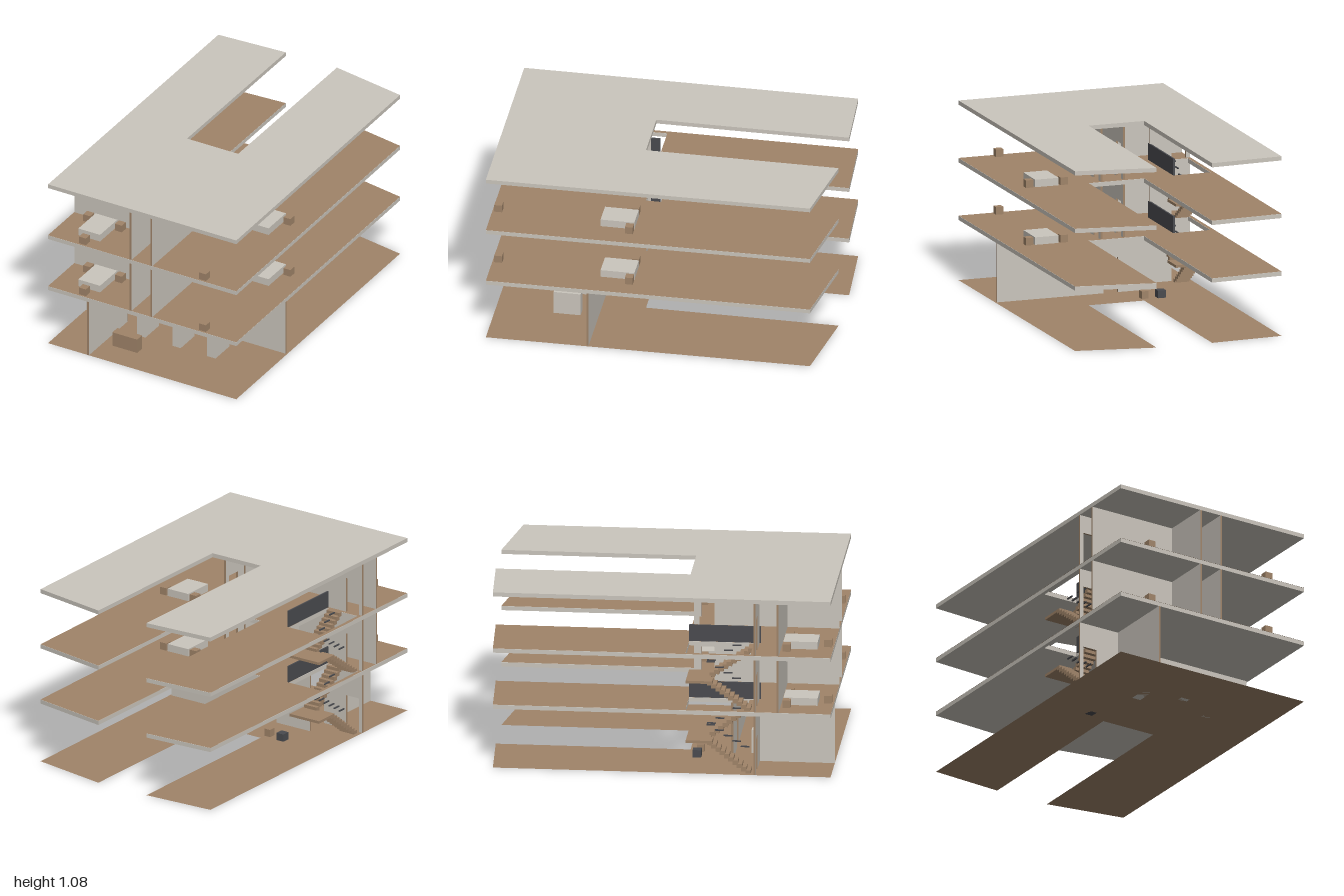
import * as THREE from 'three';

const mat = (name, color, side = THREE.FrontSide) => {
  const m = new THREE.MeshStandardMaterial({ color, side });
  m.name = name;
  return m;
};

export function createModel() {
  const plaster = mat('plaster', 0xcbc6bd);
  const wood = mat('wood', 0xa08469, THREE.DoubleSide);
  const charcoal = mat('charcoal', 0x4a4b4f);
  const model = new THREE.Group();
  model.name = 'building';

  const add = (name, geometry, material, parent = model) => {
    const mesh = new THREE.Mesh(geometry, material);
    mesh.name = name;
    parent.add(mesh);
    return mesh;
  };
  // Box given by its limits on each axis
  const box = (name, material, [x0, x1], [y0, y1], [z0, z1], parent) =>
    add(name, new THREE.BoxGeometry(x1 - x0, y1 - y0, z1 - z0), material, parent)
      .position.set((x0 + x1) / 2, (y0 + y1) / 2, (z0 + z1) / 2);
  const shapeOf = (points) => new THREE.Shape(points.map(([a, b]) => new THREE.Vector2(a, b)));

  // U-shaped floor plan, optionally pierced by the stairwell
  const plan = (stairwell) => {
    const shape = shapeOf([
      [-0.635, -1], [0.635, -1], [0.62, 0.915], [0.145, 1],
      [0.145, -0.14], [-0.2, -0.14], [-0.2, 1], [-0.64, 0.975],
    ]);
    if (stairwell) {
      shape.holes.push(shapeOf([[-0.615, -0.15], [-0.615, -0.53], [-0.395, -0.53], [-0.395, -0.15]]));
    }
    return shape;
  };
  const slab = (name, y, hasFloor) => {
    const geo = new THREE.ExtrudeGeometry(plan(hasFloor), { depth: 0.025, bevelEnabled: false });
    add(name, geo.rotateX(-Math.PI / 2), plaster).position.y = y;
    if (hasFloor) floorPlate(name + 'Floor', y + 0.0262, true);
  };
  const floorPlate = (name, y, stairwell) => {
    add(name, new THREE.ShapeGeometry(plan(stairwell)).rotateX(-Math.PI / 2), wood).position.y = y;
  };

  // Thin wall with wooden edges and an optional doorway reaching the floor
  const T = 0.012, DOOR = 0.21;
  const wallGeometry = (a, b, h, door) => {
    const notch = door ? [[door[0], 0], [door[0], DOOR], [door[1], DOOR], [door[1], 0]] : [];
    return new THREE.ExtrudeGeometry(shapeOf([[a, 0], ...notch, [b, 0], [b, h], [a, h]]),
      { depth: T, bevelEnabled: false });
  };
  const crossWall = (name, z, x0, x1, y, h, door) =>
    add(name, wallGeometry(x0, x1, h, door), [plaster, wood]).position.set(0, y, z - T / 2);
  const longWall = (name, x, z0, z1, y, h, door) =>
    add(name, wallGeometry(z0, z1, h, door).rotateY(-Math.PI / 2), [plaster, wood])
      .position.set(x + T / 2, y, 0);

  // Two flights with a half landing and short handrail bars
  const staircase = (y, rise) => {
    const stairs = new THREE.Group();
    stairs.name = 'staircase';
    model.add(stairs);
    const n = 10, run = 0.025, step = rise / (2 * n);
    for (let i = 0; i < n; i++) {
      const z = 0.53 - i * run, top = y + (i + 1) * step;
      box('lowerStep', wood, [-0.61, -0.525], [Math.max(y, top - 0.026), top], [z - run - 0.006, z], stairs);
      const z2 = 0.28 + i * run, top2 = y + rise / 2 + (i + 1) * step;
      box('upperStep', wood, [-0.5, -0.41], [top2 - 0.026, top2], [z2, z2 + run + 0.006], stairs);
    }
    box('landing', wood, [-0.61, -0.4], [y + rise / 2 - 0.016, y + rise / 2], [0.15, 0.29], stairs);
    for (let i = 0; i < 5; i++) {
      const z = 0.49 - i * 0.05;
      box('lowerRail', charcoal, [-0.533, -0.525], [y + 0.135 + i * 0.032, y + 0.142 + i * 0.032],
        [z - 0.025, z + 0.025], stairs);
      if (i < 4) {
        box('upperRail', charcoal, [-0.5, -0.492], [y + 0.262 + i * 0.032, y + 0.269 + i * 0.032],
          [0.265 + i * 0.05, 0.315 + i * 0.05], stairs);
      }
    }
  };

  // Bed with two nightstands at the head and a stool near the front
  const bedroom = (x, y, headZ) => {
    const set = new THREE.Group();
    set.name = 'bedroomSet';
    model.add(set);
    const h = [y, y + 0.045];
    box('bed', plaster, [x - 0.073, x + 0.073], h, [headZ, headZ + 0.2], set);
    for (const s of [-1, 1]) {
      const c = x + s * 0.107;
      box('nightstand', wood, [c - 0.023, c + 0.023], h, [headZ, headZ + 0.046], set);
    }
    box('stool', wood, [x - 0.023, x + 0.023], h, [0.942, 0.988], set);
  };

  // Ground floor
  floorPlate('groundFloor', 0, false);
  crossWall('lobbyBackWall', 0.4, -0.37, 0.62, 0, 0.36, [-0.13, -0.04]);
  crossWall('stairWall', 0.555, -0.635, -0.36, 0, 0.36, [-0.61, -0.52]);
  longWall('lobbySideWall', -0.365, 0.555, 1, 0, 0.36);
  box('receptionDesk', wood, [-0.297, -0.13], [0, 0.09], [0.778, 0.835]);
  for (const x of [-0.205, 0.033, 0.268]) {
    box('lobbyCabinet', plaster, [x - 0.028, x + 0.028], [0, 0.142], [0.5, 0.66]);
  }
  box('backStool', wood, [-0.24, -0.2], [0, 0.045], [0.18, 0.225]);
  box('darkStool', charcoal, [-0.345, -0.295], [0, 0.045], [0.165, 0.215]);
  staircase(0, 0.385);

  // Upper floors
  slab('firstSlab', 0.36, true);
  slab('secondSlab', 0.705, true);
  slab('roofSlab', 1.05, false);
  staircase(0.386, 0.345);
  for (const y of [0.386, 0.731]) {
    const h = 0.319;
    for (const x of [-0.078, 0.062]) longWall('corridorWall', x, 0.15, 1, y, h, [0.18, 0.27]);
    crossWall('bedroomBackWall', 0.69, -0.635, -0.084, y, h);
    crossWall('stairWall', 0.555, -0.635, -0.385, y, h, [-0.61, -0.52]);
    box('stairParapet', charcoal, [-0.394, -0.384], [y, y + 0.1], [0.15, 0.57]);
    bedroom(-0.41, y, 0.71);
    bedroom(0.4, y, 0.15);
  }
  return model;
}
